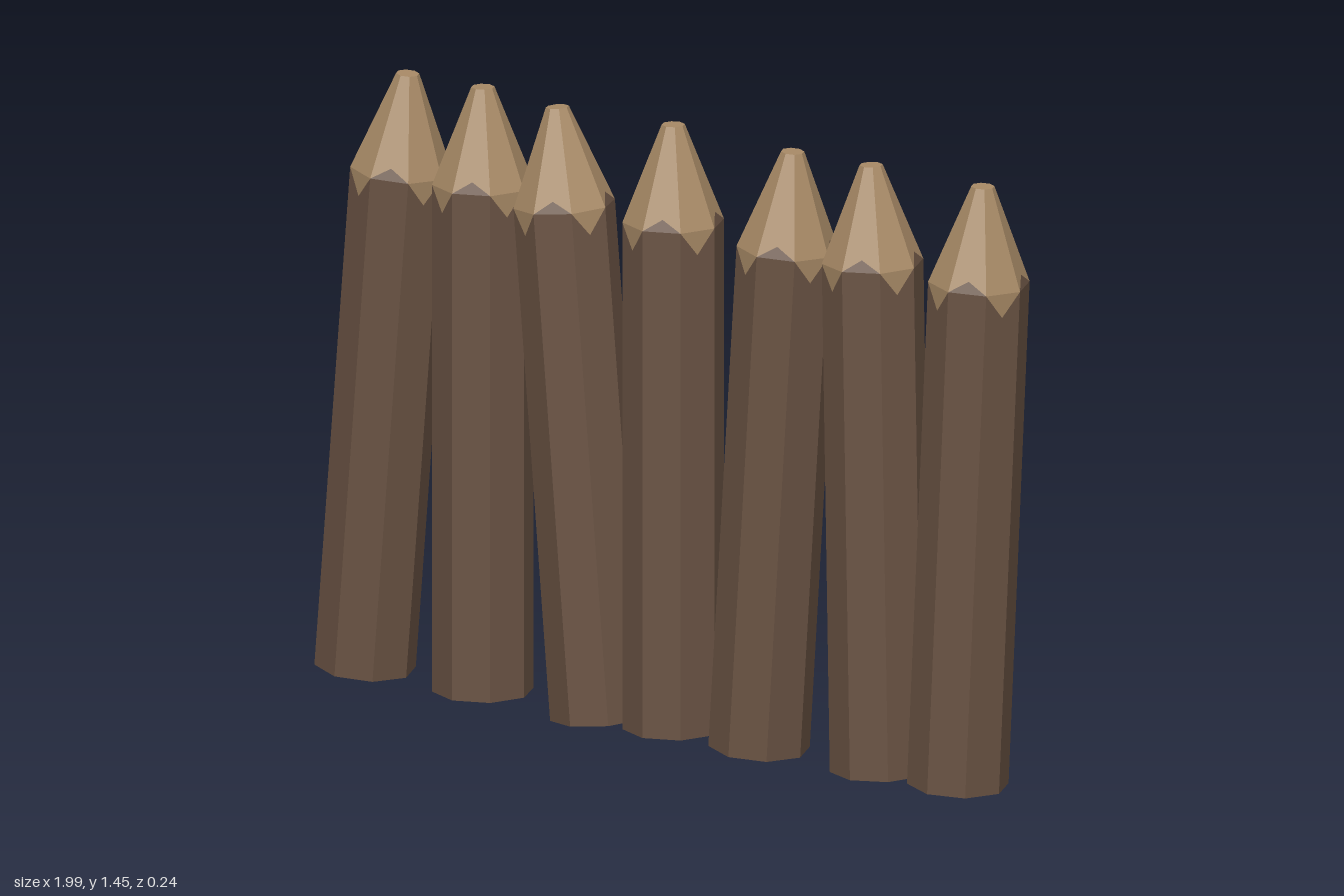
import * as THREE from 'three';

const SIDES = 8, RADIUS = 0.118, TIP_RADIUS = 0.027;
const SHOULDER = 1.207, HEIGHT = 1.436, NOTCH = 1.15;

const bark = new THREE.MeshStandardMaterial({ color: 0x6b5444, flatShading: true });
const wood = new THREE.MeshStandardMaterial({ color: 0xa88a66, flatShading: true });

// Ring of corners, with corners on the x and z axes
function ring(radius, y) {
  return Array.from({ length: SIDES }, (_, i) => {
    const a = (i / SIDES) * Math.PI * 2;
    return new THREE.Vector3(Math.cos(a) * radius, y, Math.sin(a) * radius);
  });
}

// Adds a polygon as a triangle fan around its first corner
function fan(out, ...p) {
  for (let i = 1; i < p.length - 1; i++) out.push(p[0], p[i], p[i + 1]);
}

function flatGeometry(points) {
  const g = new THREE.BufferGeometry().setFromPoints(points);
  g.computeVertexNormals();
  return g;
}

// Octagonal post with a carved point; the bark edge zigzags about the shoulder
function stakeGeometries() {
  const B = ring(RADIUS, 0), S = ring(RADIUS, SHOULDER), T = ring(TIP_RADIUS, HEIGHT);
  const barkPts = [], woodPts = [];
  for (let i = 0; i < SIDES; i++) {
    const j = (i + 1) % SIDES;
    const mid = S[i].clone().lerp(S[j], 0.5);
    if (i % 2 === 0) {
      // carving dips into the bark
      mid.y = NOTCH;
      fan(barkPts, mid, S[j], B[j], B[i], S[i]);
      fan(woodPts, S[j], mid, S[i]);
      fan(woodPts, S[j], S[i], T[i], T[j]);
    } else {
      // bark runs up onto the point
      mid.lerp(T[i].clone().lerp(T[j], 0.5), 0.12);
      fan(barkPts, S[j], B[j], B[i], S[i]);
      fan(barkPts, S[j], S[i], mid);
      fan(woodPts, mid, S[i], T[i], T[j], S[j]);
    }
  }
  fan(barkPts, ...B);
  fan(woodPts, ...T.slice().reverse());
  return [flatGeometry(barkPts), flatGeometry(woodPts)];
}

export function createModel() {
  const model = new THREE.Group();
  model.name = 'palisade';
  const [barkGeo, woodGeo] = stakeGeometries();

  // foot x, foot y, lean about z
  const stakes = [
    [-0.882, 0.021, -0.085],
    [-0.545, 0.019, 0],
    [-0.207, 0.012, 0.087],
    [0, 0.019, 0],
    [0.246, 0.014, -0.067],
    [0.594, 0.016, 0.019],
    [0.815, 0.019, -0.05],
  ];
  stakes.forEach(([x, y, lean], i) => {
    const stake = new THREE.Group();
    stake.name = `stake${i + 1}`;
    const shaft = new THREE.Mesh(barkGeo, bark);
    shaft.name = 'barkShaft';
    const point = new THREE.Mesh(woodGeo, wood);
    point.name = 'carvedPoint';
    stake.add(shaft, point);
    stake.position.set(x, y, 0);
    stake.rotation.z = lean;
    model.add(stake);
  });
  return model;
}
